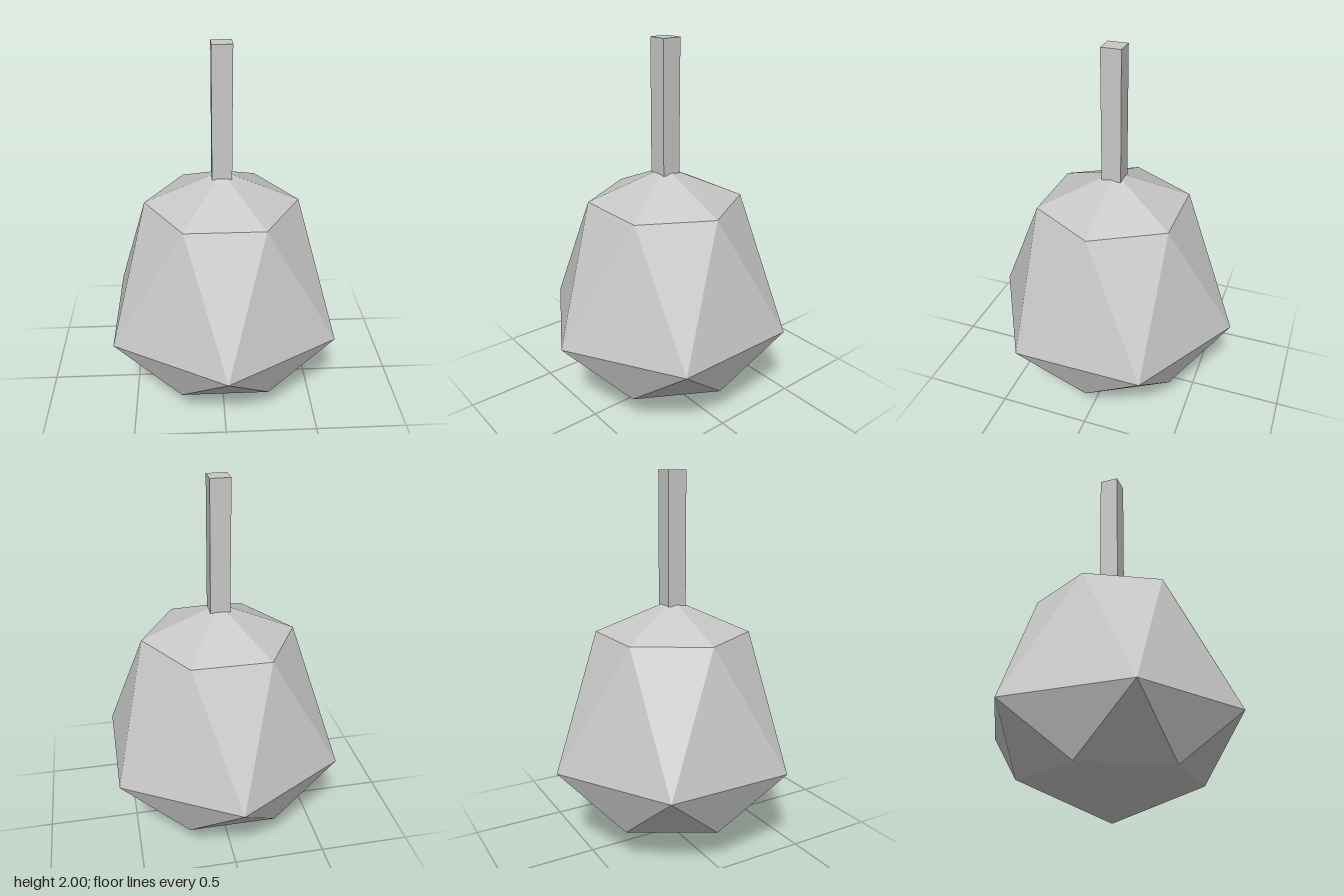
import * as THREE from 'three';

// Six-sided ring of points; turn rotates it by half a side
const ring = (y, r, turn) => Array.from({ length: 6 }, (_, i) => {
  const a = (i + turn) * Math.PI / 3;
  return [r * Math.sin(a), y, r * Math.cos(a)];
});

export function createModel() {
  const model = new THREE.Group();
  const grey = new THREE.MeshStandardMaterial({ color: 0xc8c8c8, flatShading: true });
  grey.name = 'plain grey';

  // Faceted body: staggered hexagonal rings between two apexes
  const top = [0, 1.34, 0], bottom = [0, 0, 0];
  const upper = ring(1.165, 0.41, 0.5);
  const middle = ring(0.49, 0.683, 0);
  const lower = ring(0.195, 0.472, 0.5);
  const points = [];
  const face = (...corners) => corners.forEach((p) => points.push(...p));
  for (let i = 0; i < 6; i++) {
    const n = (i + 1) % 6;
    face(top, upper[i], upper[n]);
    face(upper[i], middle[i], middle[n]);
    face(upper[i], middle[n], upper[n]);
    face(middle[i], lower[i], middle[n]);
    face(lower[i], lower[n], middle[n]);
    face(bottom, lower[n], lower[i]);
  }
  const geometry = new THREE.BufferGeometry();
  geometry.setAttribute('position', new THREE.Float32BufferAttribute(points, 3));
  geometry.computeVertexNormals();
  const body = new THREE.Mesh(geometry, grey);
  body.name = 'body';
  model.add(body);

  // Square stem rising from the top of the body
  const stem = new THREE.Mesh(new THREE.BoxGeometry(0.104, 0.69, 0.104), grey);
  stem.name = 'stem';
  stem.position.y = 1.655;
  model.add(stem);

  return model;
}
